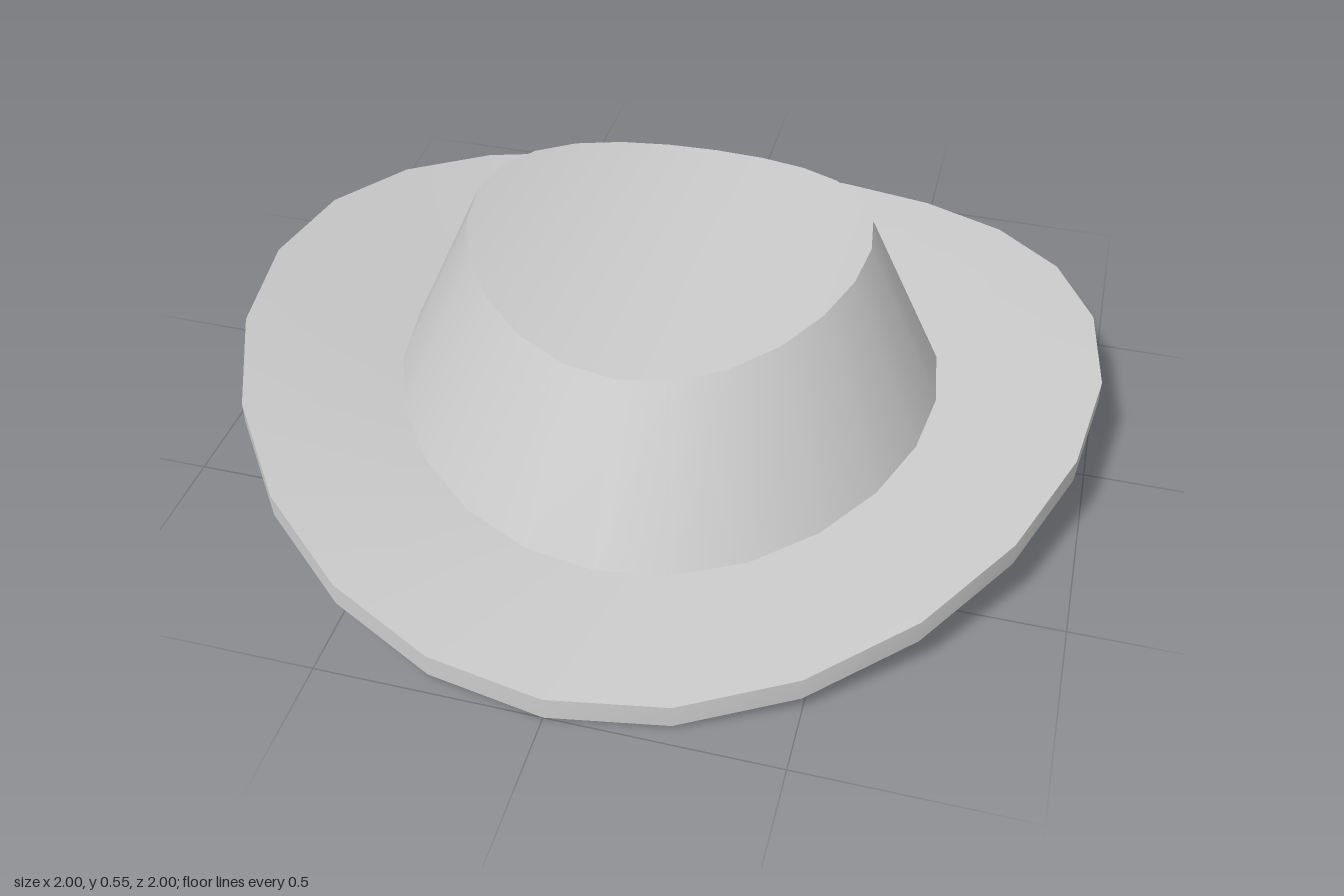
import * as THREE from 'three';

const SIDES = 24;
const material = new THREE.MeshStandardMaterial({ color: 0xcccccc });

// Each ring is a circle of radius r at height y, bent upwards at the sides by k * x^2.
const brimBottom = { r: 1, y: 0, k: 0.225 };
const brimTop = { r: 1, y: 0.055, k: 0.225 };
const crownBase = { r: 0.64, y: 0.06, k: 0.225 };
const crownTop = { r: 0.46, y: 0.45, k: 0.47 };

function ringPoint({ r, y, k }, angle) {
  const x = r * Math.sin(angle);
  return [x, y + k * x * x, r * Math.cos(angle)];
}

function makeMesh(name, positions, indices) {
  const geometry = new THREE.BufferGeometry();
  geometry.setAttribute('position', new THREE.Float32BufferAttribute(positions, 3));
  geometry.setIndex(indices);
  geometry.computeVertexNormals();
  const mesh = new THREE.Mesh(geometry, material);
  mesh.name = name;
  return mesh;
}

// Closed band from a lower or outer ring to an upper or inner ring
function band(name, lower, upper) {
  const positions = [], indices = [];
  for (let i = 0; i < SIDES; i++) {
    const angle = (i / SIDES) * Math.PI * 2;
    positions.push(...ringPoint(lower, angle), ...ringPoint(upper, angle));
    const a = 2 * i, b = 2 * ((i + 1) % SIDES);
    indices.push(a, b, b + 1, a, b + 1, a + 1);
  }
  return makeMesh(name, positions, indices);
}

// Curved disc filling a ring, made of strips running front to back
function disc(name, ring, facesUp) {
  const positions = [], indices = [];
  const columns = SIDES / 2;
  for (let i = 0; i <= columns; i++) {
    const angle = -Math.PI / 2 + (i / columns) * Math.PI;
    const [x, y, z] = ringPoint(ring, angle);
    positions.push(x, y, z, x, y, -z);
    if (i === columns) break;
    const f = 2 * i, b = f + 1, f2 = f + 2, b2 = f + 3;
    if (facesUp) indices.push(f, f2, b2, f, b2, b);
    else indices.push(f, b2, f2, f, b, b2);
  }
  return makeMesh(name, positions, indices);
}

export function createModel() {
  const hat = new THREE.Group();
  hat.name = 'hat';

  // Brim turned up at both sides
  const brim = new THREE.Group();
  brim.name = 'brim';
  brim.add(
    disc('brimUnderside', brimBottom, false),
    band('brimEdge', brimBottom, brimTop),
    band('brimUpperSide', brimTop, crownBase)
  );

  // Tapered crown with a dipped top
  const crown = new THREE.Group();
  crown.name = 'crown';
  crown.add(band('crownWall', crownBase, crownTop), disc('crownTop', crownTop, true));

  hat.add(brim, crown);
  return hat;
}
